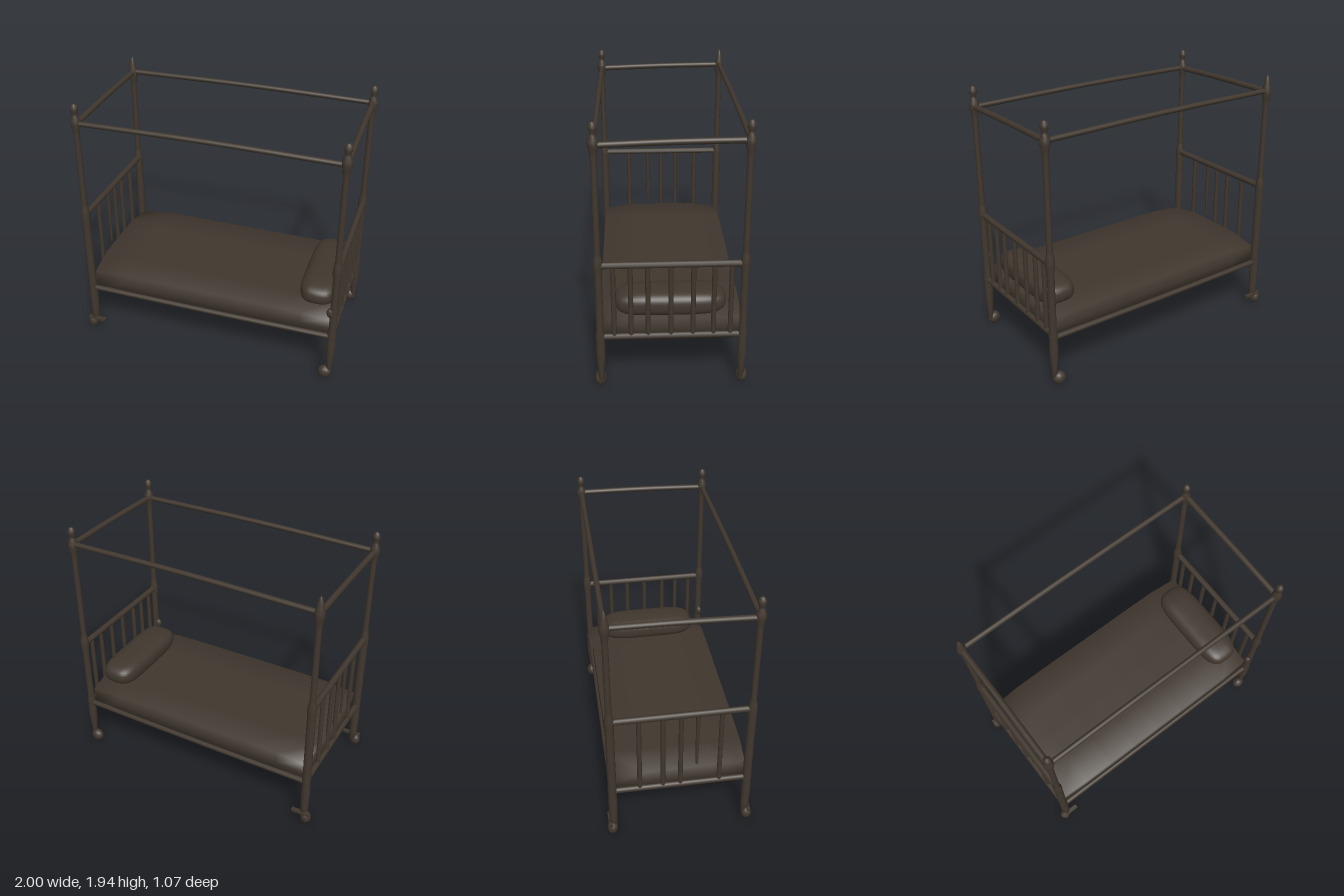
import * as THREE from 'three';
import { mergeVertices } from 'three/addons/utils/BufferGeometryUtils.js';

export function createModel() {
  const model = new THREE.Group();
  model.name = 'fourPosterBed';
  const darkBrown = new THREE.MeshStandardMaterial({ color: 0x40372e });
  darkBrown.name = 'darkBrown';

  const add = (name, geometry, x = 0, y = 0, z = 0) => {
    const mesh = new THREE.Mesh(geometry, darkBrown);
    mesh.name = name;
    mesh.position.set(x, y, z);
    model.add(mesh);
    return mesh;
  };
  const v = (x, y, z) => new THREE.Vector3(x, y, z);

  // Slightly bowed round bar between two points
  const bar = (name, a, b, r, bow = 0) => {
    const mid = a.clone().lerp(b, 0.5);
    mid.y += bow;
    return add(name, new THREE.TubeGeometry(new THREE.CatmullRomCurve3([a, mid, b]), 8, r, 10));
  };

  const HEAD = 0.967, FOOT = -0.94, Z = 0.487;
  const roundFinial = [[0.021, 1.855], [0.019, 1.87], [0.028, 1.895], [0.027, 1.915], [0.016, 1.938], [0, 1.942]];
  const pointedFinial = [[0.027, 1.85], [0.022, 1.88], [0.012, 1.92], [0, 1.935]];

  // Turned post: thick up to the end-board joint, thin above, finial on top
  const post = (name, x, z, joint, lowR, ankleR, finial) => {
    const profile = [
      [0, 0.05], [ankleR, 0.06], [ankleR, 0.15], [0.032, 0.24], [0.033, 0.32],
      [0.03, 0.38], [0.034, 0.41], [lowR, 0.46], [lowR, joint - 0.07],
      [0.033, joint - 0.02], [0.033, joint + 0.02], [0.026, joint + 0.06],
      [0.022, joint + 0.09], [0.021, 1.7], [0.027, 1.75], [0.036, 1.79], [0.035, 1.82],
      ...finial
    ].map(([r, y]) => new THREE.Vector2(r, y));
    add(name, new THREE.LatheGeometry(profile, 12), x, 0, z);
  };

  for (const s of [1, -1]) {
    const side = s > 0 ? 'Front' : 'Back';
    post('headPost' + side, HEAD, s * Z, 0.96, 0.026, 0.022, roundFinial);
    post('footPost' + side, FOOT, s * Z, 1.05, 0.031, 0.03, s > 0 ? roundFinial : pointedFinial);

    // Casters under the posts
    const ball = new THREE.SphereGeometry(0.046, 12, 8);
    add('headCaster' + side, ball, 0.937, 0.052, s * 0.495).scale.set(1.1, 1.1, 0.9);
    add('footCaster' + side, ball, -0.96, 0.052, s * 0.498).scale.set(0.87, 1.1, 0.85);
    // Brake lever on the foot casters
    add('casterLever' + side, new THREE.BoxGeometry(0.14, 0.02, 0.03), -0.92, 0.09, s * 0.51);

    // Long rails: canopy and bed frame
    const high = s > 0 ? 1.79 : 1.81;
    bar('canopySideRail' + side, v(FOOT, high + 0.005, s * Z), v(HEAD, high, s * Z), 0.019, 0.01);
    bar('frameSideRail' + side, v(FOOT, 0.385, s * Z), v(HEAD, 0.385, s * Z), 0.021, -0.004);
  }

  // End boards: top rail, bottom rail, canopy rail and spindles
  const endBoard = (name, x, top, spindles) => {
    bar(name + 'TopRail', v(x, top, Z), v(x, top, -Z), 0.023);
    bar(name + 'BottomRail', v(x, 0.408, Z), v(x, 0.408, -Z), 0.022);
    bar(name + 'CanopyRail', v(x, 1.79, Z), v(x, 1.81, -Z), 0.021, 0.005);
    for (const [z, bottom] of spindles) {
      const h = top - bottom;
      add(name + 'Spindle', new THREE.CylinderGeometry(0.017, bottom > 0.5 ? 0.009 : 0.017, h, 8),
        x, bottom + h / 2, z);
    }
  };
  endBoard('headBoard', HEAD, 0.955,
    [0.39, 0.275, 0.16, 0.005, -0.145, -0.285, -0.4].map(z => [z, 0.41]));
  // One foot spindle is broken off short
  endBoard('footBoard', FOOT, 1.05, [[0.28, 0.41], [0.115, 0.59], [0, 0.41], [-0.125, 0.41], [-0.29, 0.41]]);

  // Small knob on the front head post
  add('postKnob', new THREE.SphereGeometry(0.03, 10, 8), 0.945, 0.6, 0.49).scale.set(1, 1.4, 0.9);

  // Mattress: flat-topped slab, softly shaded across its edges, with eased corners
  const slab = new THREE.BoxGeometry(2, 1, 2, 8, 2, 4);
  slab.deleteAttribute('uv');
  slab.deleteAttribute('normal');
  const mattressGeo = mergeVertices(slab);
  const p = mattressGeo.attributes.position;
  for (let i = 0; i < p.count; i++) {
    const u = p.getX(i), w = p.getZ(i), t = p.getY(i) + 0.5;
    const corner = 1 - 0.025 * u ** 8 * w ** 8;
    const top = 0.548 - 0.005 * u - 0.025 * u ** 8 * w ** 8;
    p.setXYZ(i, 0.013 + u * 0.947 * corner, 0.368 + t * (top - 0.368), w * 0.485 * corner);
  }
  mattressGeo.computeVertexNormals();
  add('mattress', mattressGeo);

  // Pillow: sphere squared off toward a plump bolster
  const pillowGeo = new THREE.SphereGeometry(1, 32, 20);
  const q = pillowGeo.attributes.position;
  const square = (a, e) => Math.sign(a) * Math.abs(a) ** e;
  for (let i = 0; i < q.count; i++) {
    q.setXYZ(i, 0.143 * square(q.getX(i), 0.65), 0.09 * square(q.getY(i), 0.75), 0.385 * square(q.getZ(i), 0.4));
  }
  pillowGeo.computeVertexNormals();
  add('pillow', pillowGeo, 0.808, 0.61, 0.003);

  return model;
}
